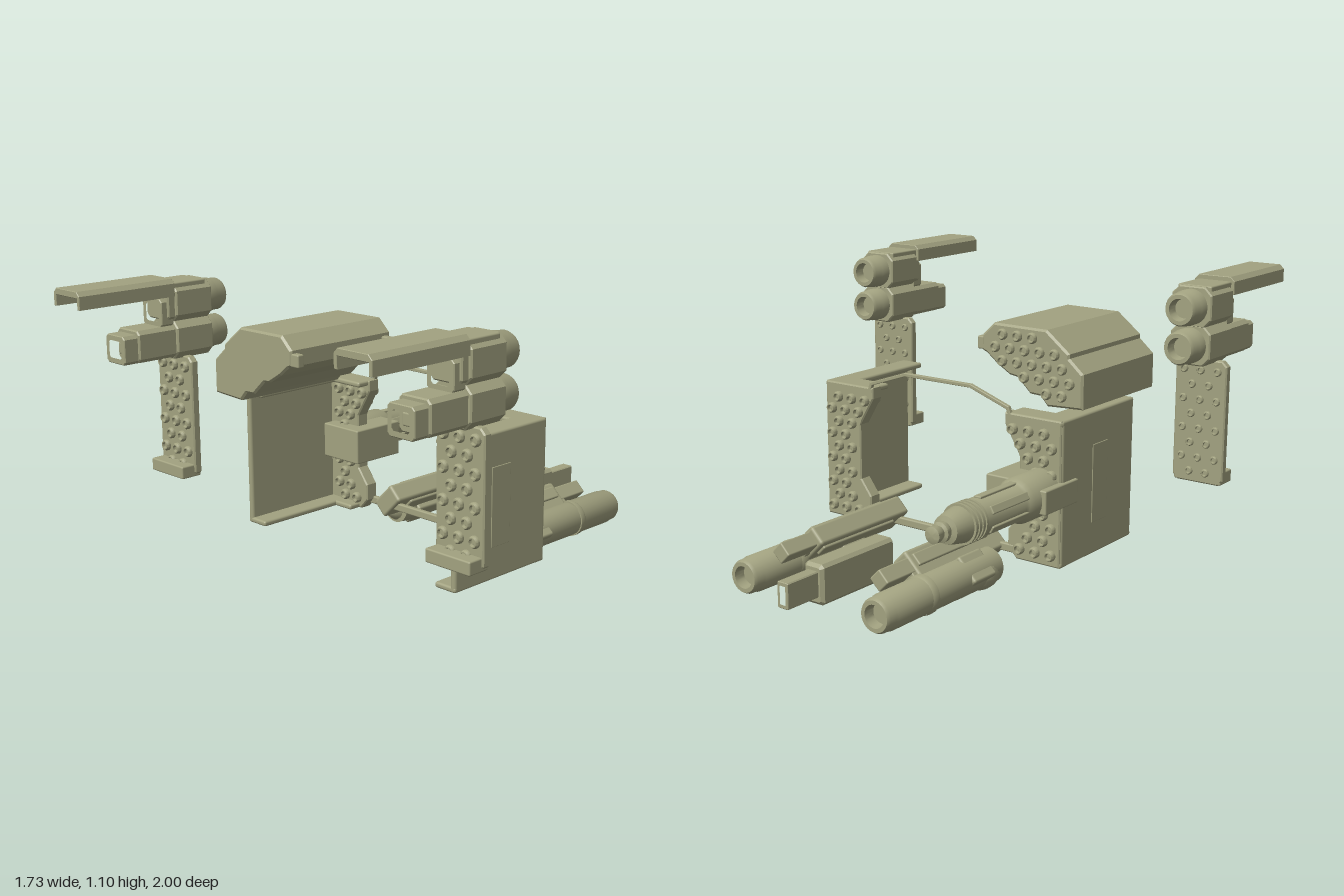
import * as THREE from 'three';
import { toCreasedNormals } from 'three/addons/utils/BufferGeometryUtils.js';
import { RoundedBoxGeometry } from 'three/addons/geometries/RoundedBoxGeometry.js';

const olive = new THREE.MeshStandardMaterial({ color: 0xa2a280 });
olive.name = 'olive';

function add(parent, name, geometry, x = 0, y = 0, z = 0, rz = 0) {
  const m = new THREE.Mesh(geometry, olive);
  m.name = name;
  m.position.set(x, y, z);
  m.rotation.z = rz;
  parent.add(m);
  return m;
}

// Box given by centre x, y and a z range
function box(parent, name, w, h, x, y, z0, z1, rz = 0, r = 0.006) {
  return add(parent, name, new RoundedBoxGeometry(w, h, z1 - z0, 2, r), x, y, (z0 + z1) / 2, rz);
}

// Outline in x, y pulled along z, with small bevels inside the z range
function slab(parent, name, pts, z0, z1, bevel = 0.005, holes = []) {
  const toShape = (p) => new THREE.Shape(p.map(([x, y]) => new THREE.Vector2(x, y)));
  const shape = toShape(pts);
  shape.holes = holes.map(toShape);
  const g = new THREE.ExtrudeGeometry(shape, {
    depth: z1 - z0 - 2 * bevel, bevelEnabled: bevel > 0, bevelSize: bevel,
    bevelOffset: -bevel, bevelThickness: bevel, bevelSegments: 1,
  });
  return add(parent, name, g, 0, 0, z0 + bevel);
}

// Turned part along the z axis; profile points are [radius, z] running backwards
function turned(parent, name, profile, x, y, sides = 24) {
  const g = new THREE.LatheGeometry(profile.map(([r, z]) => new THREE.Vector2(r, -z)), sides);
  g.rotateX(-Math.PI / 2);
  return add(parent, name, toCreasedNormals(g, 0.6), x, y);
}

// Tube with a hollow muzzle pointing backwards
function barrel(parent, name, r, z0, z1, x, y) {
  const t = z1 + 0.05;
  turned(parent, name, [[0, z0], [r, z0], [r, t], [r * 0.94, t - 0.008], [r * 0.94, z1 + 0.012],
    [r * 0.84, z1], [r * 0.62, z1], [r * 0.55, z1 + 0.04], [0, z1 + 0.04]], x, y);
}

function inside(poly, x, y) {
  let hit = false;
  for (let i = 0, j = poly.length - 1; i < poly.length; j = i++) {
    const [xi, yi] = poly[i], [xj, yj] = poly[j];
    if ((yi > y) !== (yj > y) && x < ((xj - xi) * (y - yi)) / (yj - yi) + xi) hit = !hit;
  }
  return hit;
}

// Staggered rows of dimpled studs wherever they fit inside an outline; dir is the facing z sign
function studs(parent, poly, cx, top, z, dir, r = 0.022, h = 0.018, dx = 0.07, dy = 0.057) {
  const profile = [[r, 0], [r, h * 0.6], [r * 0.8, h], [r * 0.6, h], [r * 0.5, h * 0.4], [0, h * 0.55]];
  const g = new THREE.LatheGeometry(profile.map(([a, b]) => new THREE.Vector2(a, b)), 14);
  g.rotateX(dir * Math.PI / 2);
  const stud = toCreasedNormals(g, 0.6);
  for (let row = 0; row < 12; row++) {
    for (let col = -5; col <= 5; col++) {
      const x = cx + (col + (row % 2) / 2) * dx, y = top - row * dy;
      let fits = true;
      for (let a = 0; a < 8; a++) {
        const t = (a * Math.PI) / 4;
        fits = fits && inside(poly, x + Math.cos(t) * r * 1.2, y + Math.sin(t) * r * 1.2);
      }
      if (fits) add(parent, 'stud', stud, x, y, z);
    }
  }
}

function group(parent, name) {
  const g = new THREE.Group();
  g.name = name;
  parent.add(g);
  return g;
}

const octagon = (cx, cy, w, h, c) => [[-w, -h + c], [-w, h - c], [-w + c, h], [w - c, h], [w, h - c],
  [w, -h + c], [w - c, -h], [-w + c, -h]].map(([x, y]) => [cx + x, cy + y]);

// Outer arm pod: studded plate, two stacked barrels and a roof channel
function armPod(root, s) {
  const g = group(root, s > 0 ? 'leftArmPod' : 'rightArmPod');
  const x = s * 0.758;
  const outline = octagon(x, 0.557, 0.107, 0.242, 0.02);
  slab(g, 'studPlate', outline, 0.497, 0.53);
  studs(g, outline, x, 0.757, 0.528, 1);
  studs(g, outline, x, 0.757, 0.499, -1, 0.016, 0.012);
  box(g, 'plateFoot', 0.2, 0.05, x, 0.342, 0.497, 0.588);
  for (const [y, z1] of [[1.012, 0.6], [0.868, 0.74]]) {
    slab(g, 'barrelHousing', octagon(x, y, 0.083, 0.076, 0.03), 0.4, 0.57);
    barrel(g, 'barrel', 0.067, 0.42, 0.308, x, y);
    slab(g, 'sleeve', octagon(x, y - 0.005, 0.07, 0.062, 0.015), 0.56, z1);
  }
  slab(g, 'intakeFrame', octagon(x, 0.855, 0.06, 0.055, 0.012), 0.73, 0.8, 0.003,
    [octagon(x, 0.855, 0.042, 0.037, 0.01)]);
  box(g, 'intakeCore', 0.05, 0.045, x, 0.855, 0.73, 0.77);
  slab(g, 'upperIntakeFrame', octagon(x, 0.975, 0.06, 0.055, 0.012), 0.57, 0.625, 0.003,
    [octagon(x, 0.975, 0.042, 0.037, 0.01)]);
  const half = [[0.083, 1.04], [0.083, 1.09], [0.066, 1.107]];
  const inner = [[0.068, 1.082], [0.068, 1.04]];
  const flip = (p) => p.map(([a, b]) => [-a, b]);
  const roof = [...flip(half), ...half.slice().reverse(), ...inner.slice().reverse(), ...flip(inner)];
  slab(g, 'roofChannel', roof.map(([a, b]) => [x + a, b]), 0.575, 1.0, 0.002);
  box(g, 'roofMount', 0.14, 0.04, x, 1.07, 0.42, 0.6);
}

// Side shell: studded back plate and an open channel outside it
function sideShell(root, s) {
  const g = group(root, s > 0 ? 'leftSideShell' : 'rightSideShell');
  const outline = [[0.315, 0.655], [0.56, 0.655], [0.56, 0.106], [0.37, 0.106], [0.332, 0.148],
    [0.332, 0.213], [0.382, 0.278], [0.382, 0.5], [0.315, 0.612]].map(([x, y]) => [s * x, y]);
  slab(g, 'backPlate', outline, -0.155, -0.1);
  studs(g, outline, s * 0.49, 0.6, -0.153, -1, 0.021, 0.022, 0.068, 0.05);
  studs(g, outline.map(([x, y]) => [s * Math.min(s * x, 0.54), y]), s * 0.49, 0.6, -0.102, 1, 0.022, 0.022, 0.068, 0.05);
  box(g, 'outerWall', 0.026, 0.55, s * 0.552, 0.38, -0.15, 0.337, 0, 0.012);
  for (const y of [0.645, 0.117]) {
    box(g, 'wallLip', 0.1, 0.022, s * 0.515, y, -0.15, 0.337, 0, 0.009);
    box(g, 'plateLip', y > 0.5 ? 0.24 : 0.18, 0.022, s * (y > 0.5 ? 0.442 : 0.468), y, -0.155, -0.048, 0, 0.009);
  }
  box(g, 'wallPanel', 0.006, 0.3, s * 0.565, 0.38, 0.05, 0.15, 0, 0.002);
}

// Lower thruster: tilted body with a round barrel slung beneath
function lowerThruster(root, s) {
  const g = group(root, s > 0 ? 'leftLowerThruster' : 'rightLowerThruster');
  const tilt = -s * Math.PI / 4;
  box(g, 'body', 0.13, 0.08, s * 0.238, 0.16, -0.62, -0.12, tilt, 0.012);
  box(g, 'bodyRidge', 0.05, 0.1, s * 0.225, 0.172, -0.6, -0.2, tilt);
  box(g, 'nose', 0.06, 0.06, s * 0.232, 0.17, -0.77, -0.6, tilt, 0.006);
  box(g, 'bridge', 0.08, 0.06, s * 0.275, 0.125, -0.64, -0.25, tilt);
  barrel(g, 'barrel', 0.068, -0.24, -0.885, s * 0.308, 0.095);
  turned(g, 'barrelCollar', [[0, -0.62], [0.073, -0.62], [0.073, -0.64], [0.0685, -0.65]], s * 0.308, 0.095);
  box(g, 'clamp', 0.115, 0.13, s * 0.307, 0.093, -0.43, -0.3, tilt, 0.01);
  const cap = new THREE.SphereGeometry(1, 16, 12);
  cap.scale(0.066, 0.066, 0.09);
  add(g, 'clampCap', cap, s * 0.315, 0.085, -0.3);
}

// Shoulder block with studs on its back face
function shoulderBlock(root) {
  const g = group(root, 'shoulderBlock');
  const outline = [[-0.56, 0.67], [-0.56, 0.8], [-0.5, 0.852], [-0.5, 0.868], [-0.4, 0.946], [-0.165, 0.948],
    [-0.112, 0.898], [-0.112, 0.838], [-0.13, 0.832], [-0.176, 0.796], [-0.236, 0.76], [-0.27, 0.755],
    [-0.33, 0.7], [-0.375, 0.698], [-0.407, 0.663]];
  slab(g, 'block', outline, -0.02, 0.487, 0.008);
  studs(g, outline, -0.34, 0.91, -0.018, -1, 0.021, 0.018, 0.066, 0.05);
  for (const z of [0.0, 0.455]) box(g, 'clip', 0.045, 0.05, -0.1, 0.862, z - 0.002, z + 0.028);
}

// Side cannon on its bracket
function sideCannon(root) {
  const g = group(root, 'sideCannon');
  const x = -0.478, y = 0.388;
  turned(g, 'cannonBarrel', [[0, -0.15], [0.084, -0.15], [0.084, -0.31], [0.074, -0.33], [0.068, -0.34],
    [0.068, -0.62], [0.056, -0.69], [0.05, -0.715], [0.03, -0.72], [0.036, -0.73], [0.036, -0.745],
    [0.024, -0.75], [0.03, -0.765], [0.03, -0.785], [0.016, -0.79], [0, -0.79]], x, y);
  for (let i = 0; i < 4; i++) {
    const z = -0.57 - i * 0.02;
    turned(g, 'coolingRing', [[0.05, z], [0.073, z], [0.073, z - 0.01], [0.05, z - 0.01]], x, y);
  }
  for (let i = 0; i < 6; i++) {
    const a = (i * Math.PI) / 3 + Math.PI / 6;
    box(g, 'barrelRail', 0.025, 0.03, x + Math.cos(a) * 0.062, y + Math.sin(a) * 0.062, -0.54, -0.31, a, 0.004);
  }
  box(g, 'bracket', 0.2, 0.14, -0.424, 0.385, -0.28, -0.04);
  box(g, 'bracketCatch', 0.03, 0.09, -0.562, 0.385, -0.27, -0.06);
}

// Thin frame joining both shells, and the small rear thruster
function centreFrame(root) {
  const g = group(root, 'centreFrame');
  const path = [[0.39, 0.5], [0.325, 0.672], [0.156, 0.73]];
  const pts = [...path, ...path.slice().reverse().map(([x, y]) => [-x, y])];
  for (let i = 0; i + 1 < pts.length; i++) {
    const [[ax, ay], [bx, by]] = [pts[i], pts[i + 1]];
    box(g, 'hoopBar', Math.hypot(bx - ax, by - ay) + 0.01, 0.014, (ax + bx) / 2, (ay + by) / 2,
      -0.155, -0.138, Math.atan2(by - ay, bx - ax), 0.003);
  }
  box(g, 'lowerBar', 0.72, 0.032, 0, 0.141, -0.157, -0.135);
  const r = group(root, 'rearThruster');
  slab(r, 'body', octagon(0, 0.13, 0.045, 0.075, 0.012), -0.85, -0.46, 0.012);
  slab(r, 'nozzle', octagon(0, 0.133, 0.025, 0.048, 0.004), -1.0, -0.84, 0.002,
    [octagon(0, 0.133, 0.015, 0.036, 0.003)]);
}

export function createModel() {
  const root = new THREE.Group();
  root.name = 'equipmentSet';
  for (const s of [1, -1]) {
    armPod(root, s);
    sideShell(root, s);
    lowerThruster(root, s);
  }
  shoulderBlock(root);
  sideCannon(root);
  centreFrame(root);
  return root;
}
